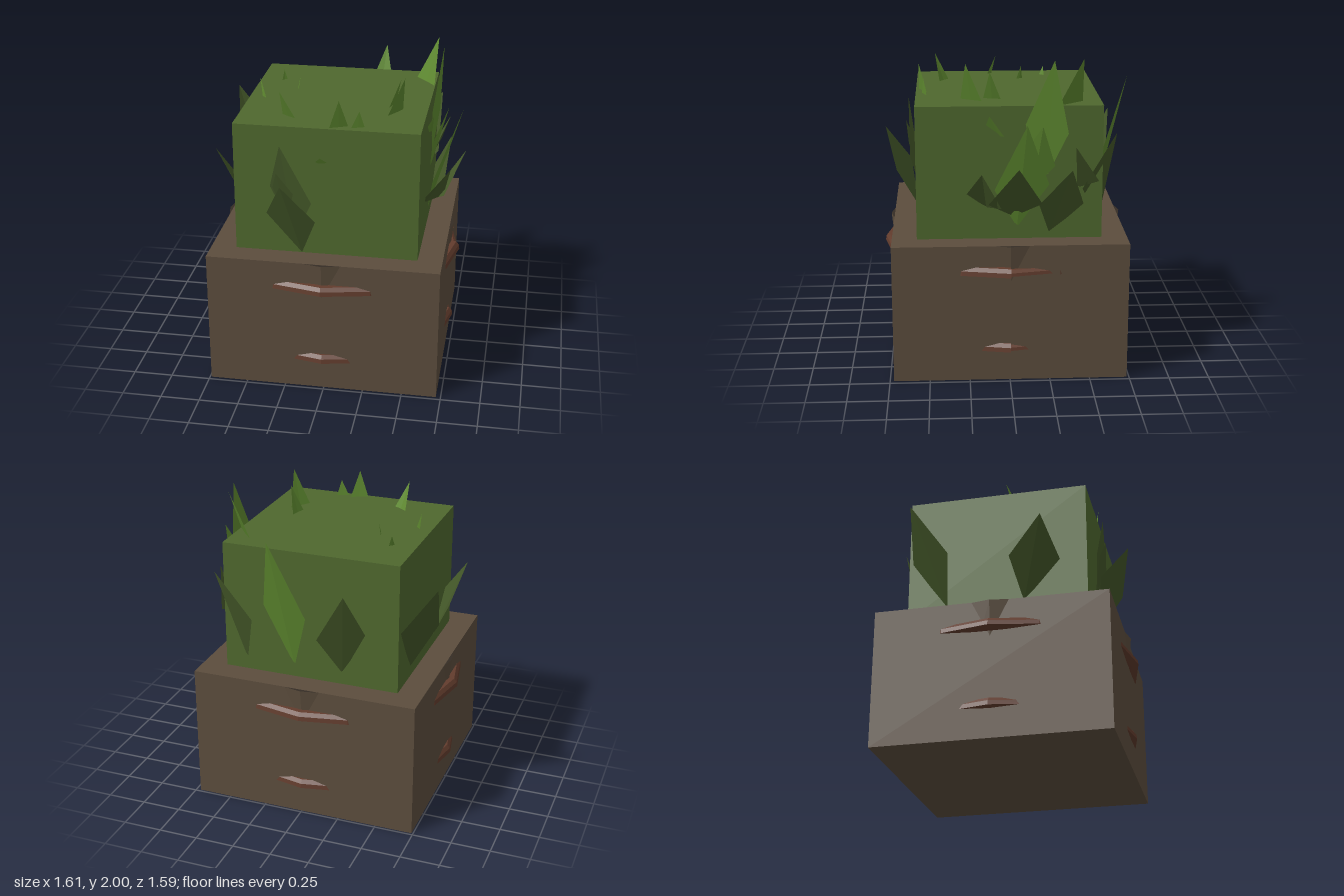
import * as THREE from 'three';

const mat = (name, color, side = THREE.FrontSide) => {
  const m = new THREE.MeshStandardMaterial({ color, side });
  m.flatShading = true;
  m.name = name;
  return m;
};

export function createModel() {
  const group = new THREE.Group();
  const wood = mat('brown wood', 0x5c4d3d);
  const soil = mat('dark soil', 0x352d25);
  const band = mat('red brown band', 0x623c2d, THREE.DoubleSide);
  const green = mat('hedge green', 0x4f682e);
  const bright = mat('bright leaf', 0x5f8a30, THREE.DoubleSide);
  const olive = mat('olive leaf', 0x445829, THREE.DoubleSide);

  const add = (name, geometry, material, x = 0, y = 0, z = 0, parent = group) => {
    const mesh = new THREE.Mesh(geometry, material);
    mesh.name = name;
    mesh.position.set(x, y, z);
    parent.add(mesh);
    return mesh;
  };

  // Planter box and clipped hedge block
  add('planterBox', new THREE.BoxGeometry(1.46, 0.88, 1.46), wood, -0.01, 0.44, -0.005);
  add('hedge', new THREE.BoxGeometry(1.145, 0.84, 1.145), green, -0.0075, 1.295, -0.0025);

  // Tapered pot that just bulges through the box walls
  add('innerPot', new THREE.CylinderGeometry(0.753, 0.665, 0.878, 16), [wood, soil, wood], -0.01, 0.44, -0.005);

  // Faceted hoops: one thinner segment beside the joint
  const hoop = (name, y, radius) => {
    const step = Math.PI / 8;
    const profile = (shrink, inset) =>
      [[-0.085, -0.03], [-0.045, -0.03], [0, -0.018], [-0.004, 0.01], [-0.022, 0.033], [-0.085, 0.033]]
        .map(([r, h]) => new THREE.Vector2(radius + r - inset, h * shrink));
    const hoopGroup = new THREE.Group();
    hoopGroup.name = name;
    group.add(hoopGroup);
    const parts = [
      ['hoopBand', new THREE.LatheGeometry(profile(1, 0), 15, Math.PI / 2 + step, 15 * step)],
      ['hoopJoint', new THREE.LatheGeometry(profile(0.7, 0.014), 1, Math.PI / 2, step)],
    ];
    for (const [part, geometry] of parts) add(part, geometry, band, -0.01, y, -0.005, hoopGroup);
  };
  hoop('upperHoop', 0.712, 0.795);
  hoop('lowerHoop', 0.212, 0.766);

  // Kite-shaped leaf, folded along the line from base to tip
  const leaf = (name, material, base, left, tip, right) => {
    const g = new THREE.BufferGeometry();
    const corners = [base, right, tip, base, tip, left].flat();
    g.setAttribute('position', new THREE.Float32BufferAttribute(corners, 3));
    g.computeVertexNormals();
    add(name, g, material);
  };

  // Front leaves
  leaf('frontLeaf', olive, [-0.16, 0.88, 0.57], [-0.37, 1.16, 0.62], [-0.25, 1.41, 0.785], [-0.05, 1.16, 0.71]);
  leaf('frontLeaf', olive, [-0.2, 1.0, 0.565], [-0.35, 1.33, 0.595], [-0.28, 1.61, 0.63], [-0.09, 1.24, 0.62]);
  leaf('frontLeaf', olive, [-0.25, 1.1, 0.565], [-0.33, 1.33, 0.61], [-0.3, 1.44, 0.65], [-0.2, 1.3, 0.63]);
  leaf('frontLeaf', bright, [-0.04, 1.48, 0.565], [-0.07, 1.5, 0.575], [-0.04, 1.53, 0.59], [0, 1.5, 0.575]);

  // Leaves on the -x side
  leaf('rightLeaf', olive, [-0.575, 0.94, -0.32], [-0.585, 1.27, -0.55], [-0.8, 1.57, -0.515], [-0.745, 1.24, -0.28]);
  leaf('rightLeaf', olive, [-0.575, 0.94, 0.17], [-0.7, 1.2, 0.1], [-0.76, 1.44, 0.31], [-0.59, 1.2, 0.4]);

  // Back leaves
  leaf('backLeaf', olive, [-0.22, 0.95, -0.57], [-0.085, 1.2, -0.67], [-0.27, 1.52, -0.705], [-0.37, 1.24, -0.585]);
  leaf('backLeaf', bright, [0.1, 0.95, -0.57], [0.29, 1.35, -0.6], [0.19, 1.83, -0.765], [-0.01, 1.32, -0.66]);
  leaf('cornerLeaf', olive, [0.42, 0.95, -0.57], [0.59, 1.2, -0.45], [0.59, 1.55, -0.655], [0.355, 1.25, -0.64]);

  // Leaves on the +x side
  leaf('leftLeaf', bright, [0.56, 0.95, -0.05], [0.6, 1.2, 0.09], [0.77, 1.64, -0.1], [0.66, 1.25, -0.24]);
  leaf('leftLeaf', olive, [0.56, 1.02, -0.03], [0.68, 1.13, 0.13], [0.8, 1.38, -0.05], [0.67, 1.13, -0.2]);
  leaf('leftLeaf', olive, [0.56, 1.08, 0.14], [0.575, 1.17, 0.26], [0.72, 1.33, 0.17], [0.67, 1.1, 0.05]);
  leaf('leftLeaf', olive, [0.56, 0.91, -0.25], [0.66, 1.12, -0.18], [0.68, 1.34, -0.38], [0.57, 1.1, -0.46]);
  leaf('leftLeaf', olive, [0.56, 1.2, -0.42], [0.58, 1.3, -0.44], [0.67, 1.48, -0.4], [0.6, 1.25, -0.55]);
  leaf('leftLeaf', bright, [0.56, 1.2, -0.15], [0.58, 1.4, -0.07], [0.67, 1.61, -0.2], [0.6, 1.35, -0.28]);
  leaf('leftLeaf', bright, [0.56, 1.25, -0.22], [0.57, 1.6, -0.1], [0.62, 2.0, -0.27], [0.6, 1.55, -0.36]);
  leaf('leftLeaf', bright, [0.56, 1.53, 0.06], [0.565, 1.6, 0.14], [0.6, 1.66, 0.12], [0.585, 1.53, 0.03]);

  // Sprigs on top: tip x, y, z, then the two root corners x, z
  const sprigs = [
    [0.43, 1.95, 0.26, 0.33, 0.29, 0.41, 0.16],
    [0.39, 1.89, 0.11, 0.35, 0.04, 0.32, 0.15],
    [-0.31, 1.89, 0.45, -0.31, 0.36, -0.22, 0.42],
    [0.07, 1.89, 0.55, 0.01, 0.55, 0.12, 0.5],
    [0.19, 1.82, 0.52, 0.14, 0.53, 0.22, 0.5],
    [-0.52, 1.83, 0.04, -0.5, 0.07, -0.47, 0.1],
    [-0.43, 1.78, -0.28, -0.44, -0.25, -0.41, -0.28],
    [-0.29, 1.8, -0.12, -0.31, -0.13, -0.3, -0.09],
    [0.57, 2.0, -0.45, 0.43, -0.46, 0.56, -0.3],
  ];
  for (const [x, y, z, ax, az, bx, bz] of sprigs) {
    leaf('topSprig', bright, [(ax + bx) / 2, 1.7, (az + bz) / 2], [ax, 1.71, az], [x, y, z], [bx, 1.71, bz]);
  }
  return group;
}
